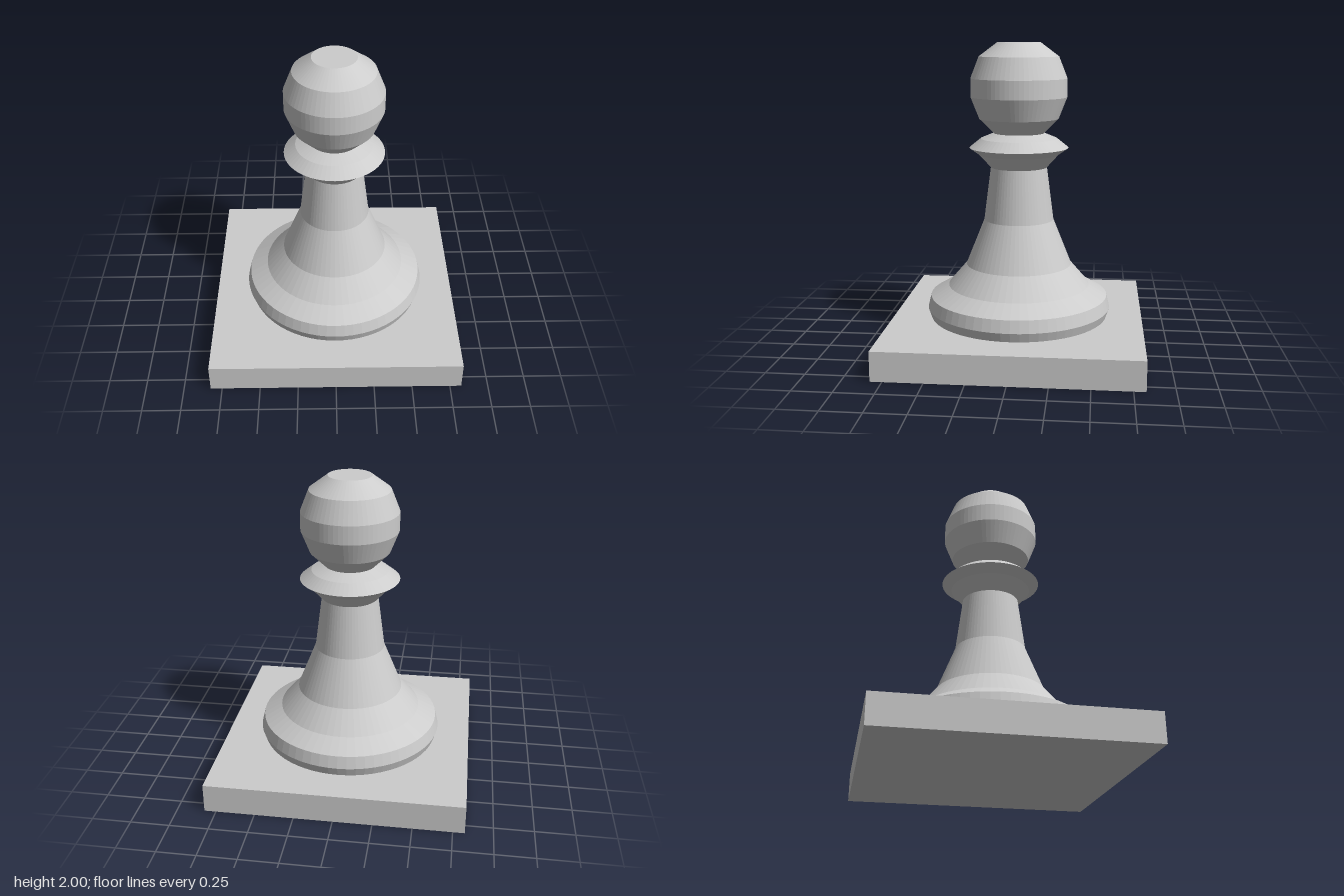
import * as THREE from 'three';

const SEGMENTS = 64;

export function createModel() {
  const group = new THREE.Group();
  group.name = 'pawnOnPlinth';

  const stone = new THREE.MeshStandardMaterial({ color: 0xcccccc, flatShading: true });
  stone.name = 'light grey';

  const add = (name, geometry) => {
    const mesh = new THREE.Mesh(geometry, stone);
    mesh.name = name;
    group.add(mesh);
    return mesh;
  };

  // Turned part from [radius, height] pairs, bottom to top
  const turned = (name, profile) =>
    add(name, new THREE.LatheGeometry(profile.map(([r, y]) => new THREE.Vector2(r, y)), SEGMENTS));

  // Square plinth
  add('plinth', new THREE.BoxGeometry(1.65, 0.19, 1.65)).position.y = 0.095;

  // Rounded foot ring
  turned('foot', [[0.59, 0.19], [0.61, 0.25], [0.59, 0.33]]);

  // Flared body rising to the neck
  turned('body', [[0.59, 0.33], [0.47, 0.4], [0.35, 0.54], [0.23, 0.84], [0.185, 1.19]]);

  // Sharp-edged collar
  turned('collar', [[0.185, 1.19], [0.262, 1.275], [0.325, 1.32], [0.25, 1.38], [0.165, 1.415]]);

  // Faceted ball head with a flat top
  turned('head', [
    [0.165, 1.415], [0.26, 1.51], [0.315, 1.65], [0.315, 1.77],
    [0.26, 1.91], [0.14, 2], [0, 2],
  ]);

  return group;
}
